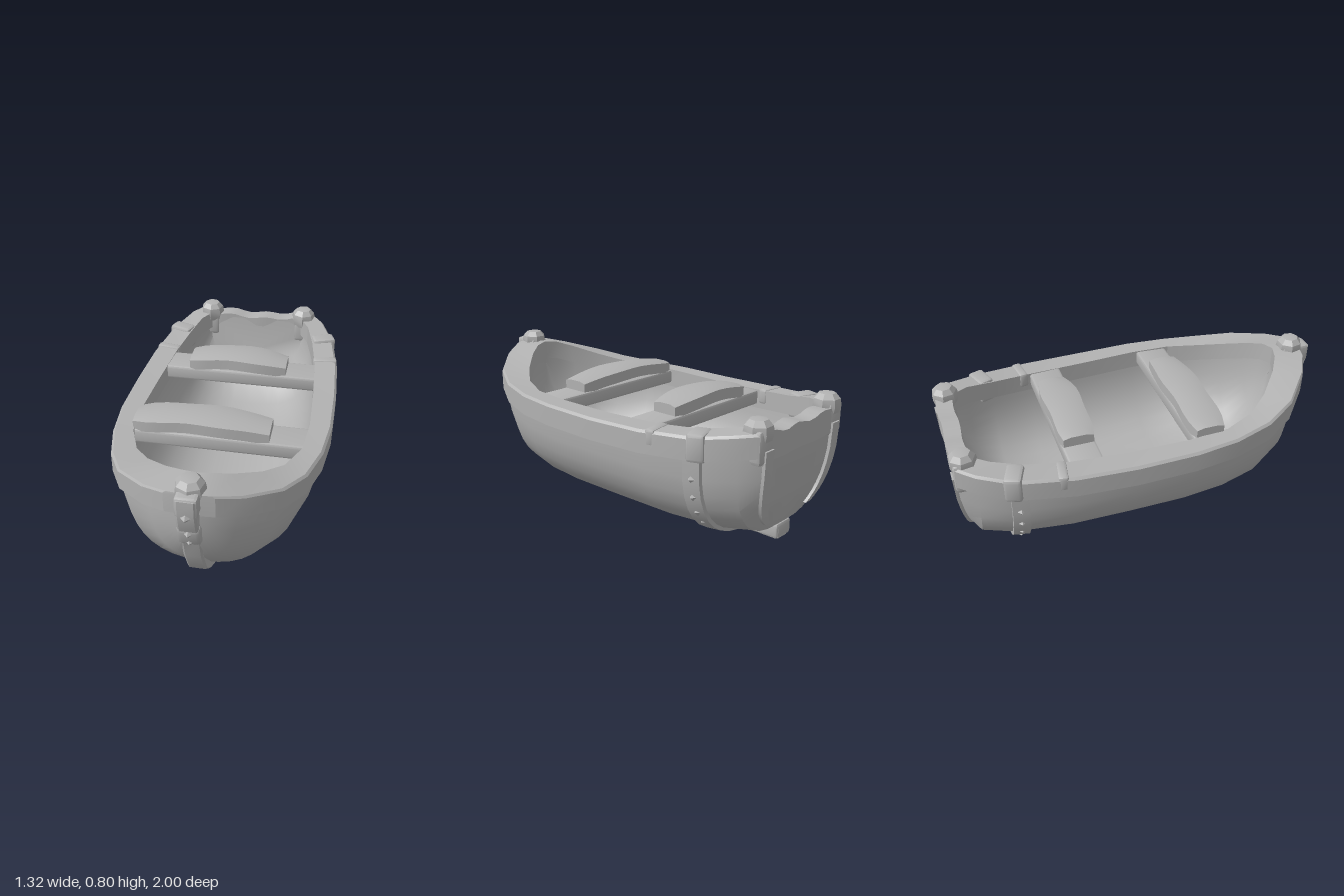
import * as THREE from 'three';
import { toCreasedNormals } from 'three/addons/utils/BufferGeometryUtils.js';
import { RoundedBoxGeometry } from 'three/addons/geometries/RoundedBoxGeometry.js';

const stone = new THREE.MeshStandardMaterial({ color: 0xb2b2b2, side: THREE.DoubleSide });
stone.name = 'plain grey';

// stern to bow: outer z, outer half width, inner z, inner half width, rail top, hull bottom, inside floor
const stations = [
  [-0.925, 0.335, -0.85, 0.26, 0.645, 0.13, 0.32],
  [-0.84, 0.405, -0.76, 0.32, 0.635, 0.105, 0.22],
  [-0.68, 0.475, -0.62, 0.36, 0.61, 0.08, 0.145],
  [-0.40, 0.52, -0.40, 0.395, 0.595, 0.06, 0.115],
  [-0.10, 0.535, -0.10, 0.415, 0.59, 0.055, 0.11],
  [0.20, 0.535, 0.20, 0.425, 0.595, 0.055, 0.11],
  [0.42, 0.51, 0.41, 0.41, 0.60, 0.06, 0.115],
  [0.62, 0.455, 0.57, 0.345, 0.615, 0.08, 0.145],
  [0.78, 0.37, 0.68, 0.26, 0.65, 0.16, 0.215],
  [0.92, 0.22, 0.78, 0.15, 0.70, 0.32, 0.35],
  [0.98, 0.11, 0.83, 0.07, 0.73, 0.47, 0.49],
  [1.00, 0.0, 0.85, 0.0, 0.74, 0.58, 0.60],
];

// Station values at any z along the boat
function stationAt(z) {
  let i = 0;
  while (i < stations.length - 2 && stations[i + 1][0] < z) i++;
  const a = stations[i], b = stations[i + 1];
  const k = (z - a[0]) / (b[0] - a[0]);
  return a.map((v, j) => v + (b[j] - v) * k);
}

// Rounded U section, squarer towards the stern; t runs from -1 (right rim) through 0 (keel) to 1 (left rim)
function sectionPoint(w, top, bottom, z, t, lean = 0) {
  const a = t * Math.PI / 2;
  const e = 0.83 - 0.17 * THREE.MathUtils.clamp((-z - 0.2) / 0.7, 0, 1);
  const x = w * Math.sign(a) * Math.pow(Math.abs(Math.sin(a)), e);
  const h = Math.pow(Math.max(0, Math.cos(a)), e);
  return [x, top - (top - bottom) * h, z + lean * h * h];
}

// Skin a row of equal cross-sections
function loft(sections, { ring = false, capStart = false, capEnd = false } = {}) {
  const pos = sections.flat(2), index = [], n = sections[0].length;
  for (let i = 0; i < sections.length - 1; i++) {
    for (let j = 0; j < (ring ? n : n - 1); j++) {
      const a = i * n + j, b = i * n + (j + 1) % n;
      index.push(a, b, a + n, b, b + n, a + n);
    }
  }
  const cap = (row, flip) => {
    const s = sections[row], c = pos.length / 3;
    pos.push(...[0, 1, 2].map(k => s.reduce((sum, p) => sum + p[k], 0) / n));
    for (let j = 0; j < n; j++) {
      const a = row * n + j, b = row * n + (j + 1) % n;
      if (flip) index.push(c, b, a); else index.push(c, a, b);
    }
  };
  if (capStart) cap(0, true);
  if (capEnd) cap(sections.length - 1, false);
  const g = new THREE.BufferGeometry();
  g.setAttribute('position', new THREE.Float32BufferAttribute(pos, 3));
  g.setIndex(index);
  g.computeVertexNormals();
  return g;
}

export function createModel() {
  const boat = new THREE.Group();
  boat.name = 'rowingBoat';
  const add = (name, geometry, x = 0, y = 0, z = 0, crease = 0.45) => {
    const g = geometry.clone();
    g.deleteAttribute('uv');
    const mesh = new THREE.Mesh(toCreasedNormals(g, crease), stone);
    mesh.name = name;
    mesh.position.set(x, y, z);
    boat.add(mesh);
    return mesh;
  };
  const steps = Array.from({ length: 19 }, (_, i) => i / 9 - 1);

  // Hull, outside and inside skins
  add('hull', loft(stations.map(([z, w, , , top, bottom], i) =>
    steps.map(t => sectionPoint(Math.max(0, w - 0.03), top - 0.08, Math.min(bottom, top - 0.1), z, t, i === 0 ? 0.075 : 0))),
  { capStart: true }));
  add('hullInside', loft(stations.map(([, , z, w, top, , floor], i) =>
    steps.map(t => sectionPoint(w + 0.025 * Math.sign(w), top - 0.03, floor, z, t, i === 0 ? 0.05 : 0)).reverse()),
  { capStart: true }), 0, 0, 0, 0.8);

  // Rail all around the sides and bow
  const railSection = (s, side) => {
    const [z, w, zi, wi, top] = s;
    return [[side * w, top - 0.11, z], [side * w, top - 0.012, z], [side * (w - 0.012 * Math.sign(w)), top, z],
      [side * wi, top, zi], [side * wi, top - 0.1, zi]];
  };
  add('rail', loft([...stations.map(s => railSection(s, 1)),
    ...stations.slice(0, -1).reverse().map(s => railSection(s, -1))],
  { ring: true, capStart: true, capEnd: true }), 0, 0, 0, 0.3);

  // Worn beam over the stern
  const beam = new THREE.BoxGeometry(0.62, 0.13, 0.085, 14, 2, 2);
  const bp = beam.attributes.position;
  for (let i = 0; i < bp.count; i++) {
    const x = bp.getX(i);
    if (bp.getY(i) > 0.05) bp.setY(i, 0.05 + 0.008 * Math.sin(x * 31) + 0.22 * x * x);
    bp.setZ(i, bp.getZ(i) + 0.004 * Math.sin(x * 23 + 1));
  }
  add('sternBeam', beam, 0, 0.575, -0.89);

  // Keel and stem in one curved timber
  const outline = [[-0.85, 0.035], [-0.3, 0.01], [0.1, 0], [0.5, 0.01], [0.64, 0.025], [0.78, 0.115], [0.87, 0.2],
    [0.94, 0.34], [0.975, 0.47], [1.03, 0.58], [1.05, 0.67], [1.05, 0.74], [0.9, 0.74], [0.9, 0.5], [0.84, 0.35],
    [0.74, 0.2], [0.6, 0.11], [0, 0.075], [-0.85, 0.085]];
  const timber = new THREE.ExtrudeGeometry(new THREE.Shape(outline.map(p => new THREE.Vector2(...p))),
    { depth: 0.07, bevelEnabled: true, bevelThickness: 0.01, bevelSize: 0.008, bevelOffset: -0.008, bevelSegments: 1 });
  timber.rotateY(-Math.PI / 2);
  add('keelAndStem', timber, 0.035, 0, 0);
  add('keelEnd', new RoundedBoxGeometry(0.12, 0.08, 0.11, 1, 0.015), -0.012, 0.07, -0.795);

  // Stem head, knot and studs
  add('stemHead', new RoundedBoxGeometry(0.1, 0.1, 0.15, 1, 0.015), 0, 0.7, 0.972);
  const knob = new THREE.LatheGeometry([[0, -0.06], [0.058, -0.06], [0.07, -0.02], [0.064, 0.015], [0.042, 0.04], [0, 0.047]]
    .map(p => new THREE.Vector2(...p)), 7);
  add('stemCap', knob, 0, 0.75, 0.95);
  add('stemKnot', new RoundedBoxGeometry(0.105, 0.12, 0.085, 1, 0.02), 0, 0.52, 0.965).rotation.x = 0.3;
  const stud = new THREE.OctahedronGeometry(0.024);
  for (const [y, z] of [[0.655, 1.045], [0.54, 1.01], [0.475, 0.985]]) add('stemStud', stud, 0, y, z);

  // Strap wrapped around the hull near the stern
  const strapRow = t => [[-0.7, 0], [-0.7, 0.02], [-0.62, 0.02], [-0.62, 0]].map(([z, out]) => {
    const s = stationAt(z);
    return sectionPoint(s[1] - 0.03 + out, s[4] - 0.08, s[5] - out * 0.7, z, t);
  });
  add('hullStrap', loft(steps.map(strapRow), { ring: true }));

  for (const side of [-1, 1]) {
    // Strap studs and the clamps over the rail
    for (const t of [0.5, 0.64, 0.78, 0.9]) {
      const s = stationAt(-0.66);
      add('strapStud', stud, ...sectionPoint(s[1] - 0.022, s[4] - 0.08, s[5], -0.66, side * t));
    }
    const clamp = add('railClamp', new RoundedBoxGeometry(0.13, 0.13, 0.085, 1, 0.015), side * 0.418, 0.56, -0.67);
    clamp.rotation.y = side * 0.35;
    add('railClampSmall', new RoundedBoxGeometry(0.13, 0.08, 0.05, 1, 0.012), side * 0.447, 0.565, -0.45).rotation.y = side * 0.15;

    // Stern corner posts with rounded heads and straps down the transom
    add('sternPost', new RoundedBoxGeometry(0.11, 0.16, 0.1, 1, 0.02), side * 0.285, 0.575, -0.882);
    add('sternPostHead', knob, side * 0.28, 0.652, -0.878);
    const strapRows = [1, 0.9, 0.8, 0.7, 0.6, 0.5, 0.4, 0.32].map(t =>
      [[0.245, 0], [0.245, -0.016], [0.305, -0.016], [0.305, 0]].map(([w, out]) =>
        sectionPoint(w, 0.56, 0.13, -0.925 + out, side * t, 0.075)));
    add('transomStrap', loft(strapRows, { ring: true, capStart: true, capEnd: true }));
  }

  // Two benches, each with a thick bowed plank on top
  for (const [z, from, to, half] of [[0.31, -0.42, 0.25, 0.44], [-0.32, -0.28, 0.25, 0.45]]) {
    add('benchBase', new RoundedBoxGeometry(half * 2, 0.075, 0.17, 1, 0.012), 0, 0.553, z);
    const length = to - from;
    const plank = new THREE.BoxGeometry(length, 0.075, 0.185, 10, 2, 4);
    const p = plank.attributes.position;
    for (let i = 0; i < p.count; i++) {
      const x = p.getX(i), y = p.getY(i), k = Math.abs(2 * x / length);
      const wide = 1 - 0.22 * Math.pow(k, 4) + 0.05 * Math.sin(x * 19);
      const edge = Math.abs(p.getZ(i)) > 0.09 ? 0.75 : 1;
      p.setXYZ(i, x, y * edge + 0.03 * (1 - k * k), p.getZ(i) * wide);
    }
    add('benchPlank', plank, (from + to) / 2, 0.605, z);
  }

  // Boat lies at an angle to the front
  boat.rotation.y = 0.34;
  boat.position.set(0.033, 0, -0.012);
  const model = new THREE.Group();
  model.name = 'boatModel';
  model.add(boat);
  return model;
}
